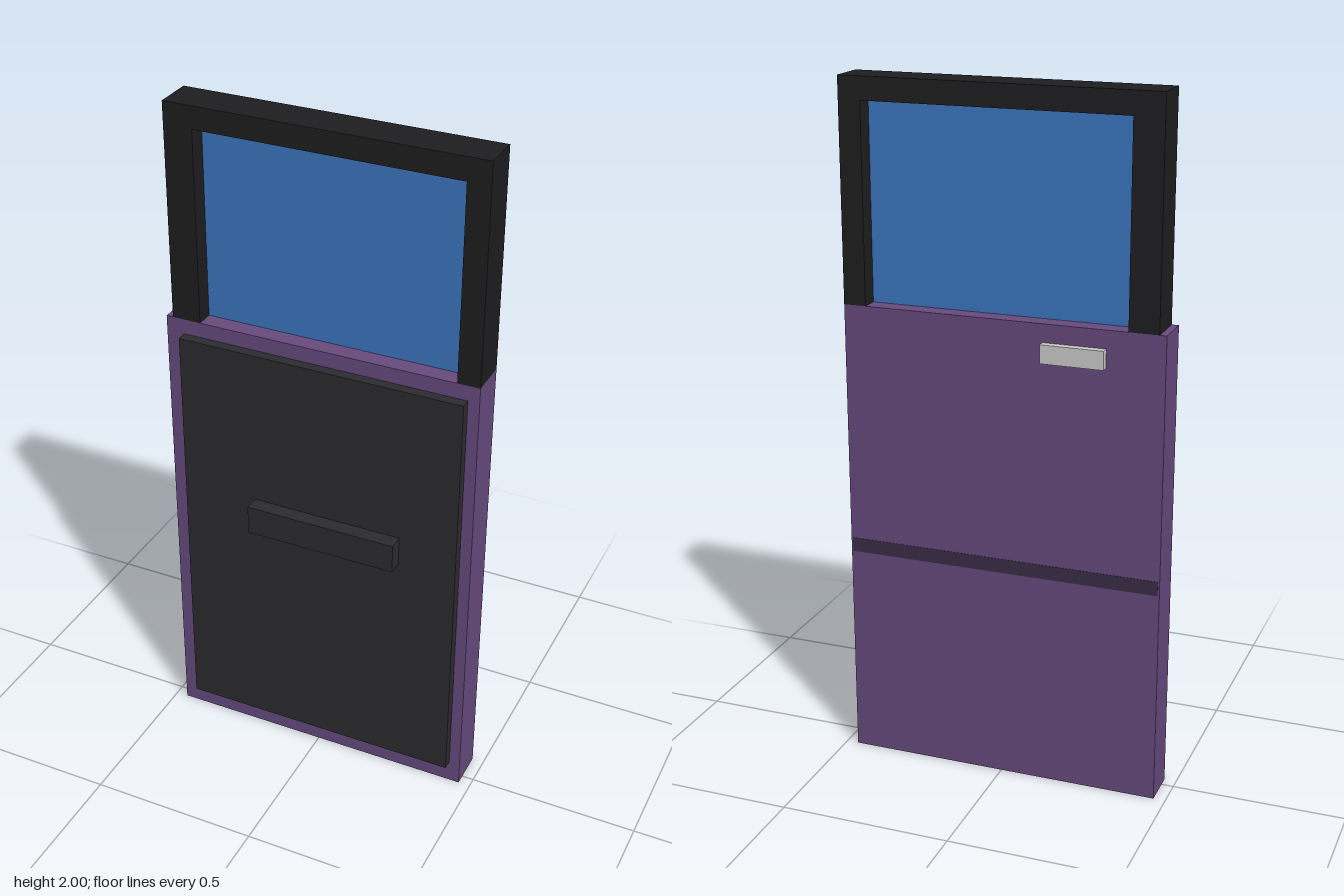
import * as THREE from 'three';

const BACK = -0.085, FRONT = 0.03, SILL = 1.37;

const mat = (color) => new THREE.MeshStandardMaterial({ color });

// Box given by its extents along each axis
function block(name, material, [x0, x1], [y0, y1], [z0, z1]) {
  const mesh = new THREE.Mesh(new THREE.BoxGeometry(x1 - x0, y1 - y0, z1 - z0), material);
  mesh.position.set((x0 + x1) / 2, (y0 + y1) / 2, (z0 + z1) / 2);
  mesh.name = name;
  return mesh;
}

// Upside-down U that surrounds the window
function windowFrame(material) {
  const shape = new THREE.Shape([
    [-0.445, SILL], [-0.36, SILL], [-0.36, 1.935], [0.4, 1.935],
    [0.4, SILL], [0.465, SILL], [0.465, 2], [-0.445, 2],
  ].map(([x, y]) => new THREE.Vector2(x, y)));
  const geometry = new THREE.ExtrudeGeometry(shape, { depth: FRONT - BACK, bevelEnabled: false });
  const mesh = new THREE.Mesh(geometry, material);
  mesh.position.z = BACK;
  mesh.name = 'windowFrame';
  return mesh;
}

export function createModel() {
  const door = new THREE.Group();
  door.name = 'door';
  const trim = mat(0x2c2b30);

  door.add(
    // Painted lower body and the window above it
    block('doorBody', mat(0x674a7e), [-0.465, 0.465], [0, SILL], [BACK, FRONT]),
    windowFrame(mat(0x1e1e20)),
    block('windowGlass', mat(0x3b76c0), [-0.36, 0.4], [SILL, 1.935], [-0.033, -0.022]),
    // Inner lining with its armrest
    block('innerPanel', trim, [-0.412, 0.432], [0.07, 1.325], [FRONT, 0.06]),
    block('armrest', trim, [-0.187, 0.262], [0.768, 0.855], [0.06, 0.105]),
    // Outer trim strip, almost flush with the body, and the door handle
    block('trimStrip', mat(0x3a2d45), [-0.46, 0.46], [0.63, 0.672], [BACK - 0.001, BACK + 0.01]),
    block('outerHandle', mat(0xcccccc), [-0.3, -0.12], [1.265, 1.318], [-0.108, BACK]),
  );
  return door;
}
